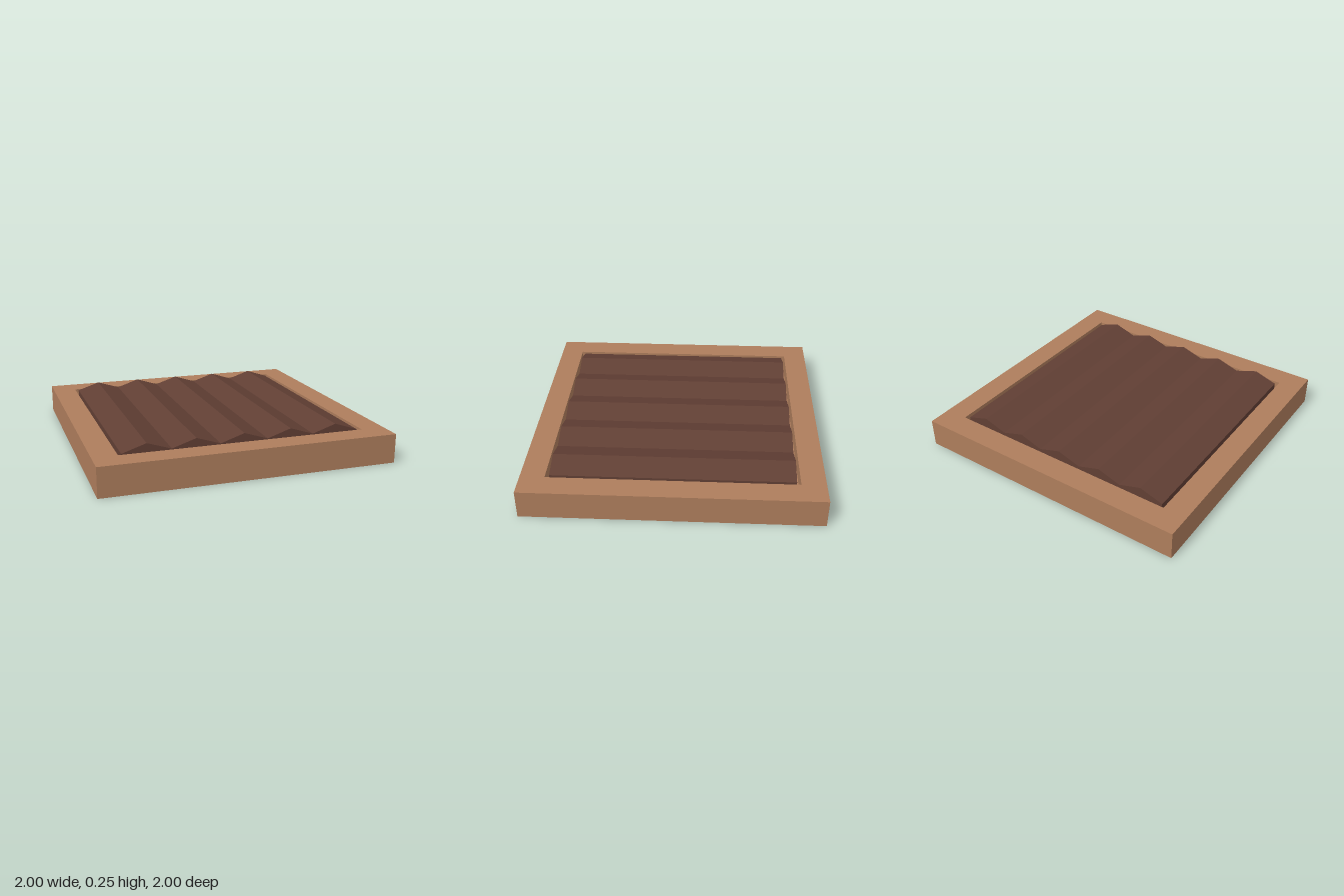
import * as THREE from 'three';

export function createModel() {
  const model = new THREE.Group();
  const clay = new THREE.MeshStandardMaterial({ color: 0xae7d5c });
  clay.name = 'clay brown';
  const earth = new THREE.MeshStandardMaterial({ color: 0x613f34 });
  earth.name = 'dark earth';

  const square = (Type, h) => new Type([[-h, -h], [h, -h], [h, h], [-h, h]].map(([x, y]) => new THREE.Vector2(x, y)));

  // Square frame with an opening for the soil
  const H = 0.2, floorY = 0.1, inner = 0.835;
  const outline = square(THREE.Shape, 1);
  outline.holes.push(square(THREE.Path, inner));
  const frameGeo = new THREE.ExtrudeGeometry(outline, { depth: H, bevelEnabled: false });
  frameGeo.rotateX(-Math.PI / 2);
  const frame = new THREE.Mesh(frameGeo, clay);
  frame.name = 'frame';

  // Floor plate closing the frame
  const floor = new THREE.Mesh(new THREE.BoxGeometry(inner * 2, floorY, inner * 2), clay);
  floor.name = 'floor';
  floor.position.y = floorY / 2;

  // Ploughed soil: five ridges running front to back
  const ridges = 5, half = 0.81, valley = 0.197, peak = 0.25;
  const pitch = (half * 2) / ridges;
  const profile = new THREE.Shape();
  profile.moveTo(-half, floorY);
  profile.lineTo(half, floorY);
  profile.lineTo(half, valley);
  for (let i = 0; i < ridges; i++) {
    const x = half - i * pitch;
    profile.lineTo(x - pitch / 2, peak);
    profile.lineTo(x - pitch, valley);
  }
  profile.closePath();
  const soilGeo = new THREE.ExtrudeGeometry(profile, { depth: half * 2, bevelEnabled: false });
  soilGeo.translate(0, 0, -half);
  const soil = new THREE.Mesh(soilGeo, earth);
  soil.name = 'soilRidges';

  model.add(frame, floor, soil);
  return model;
}
